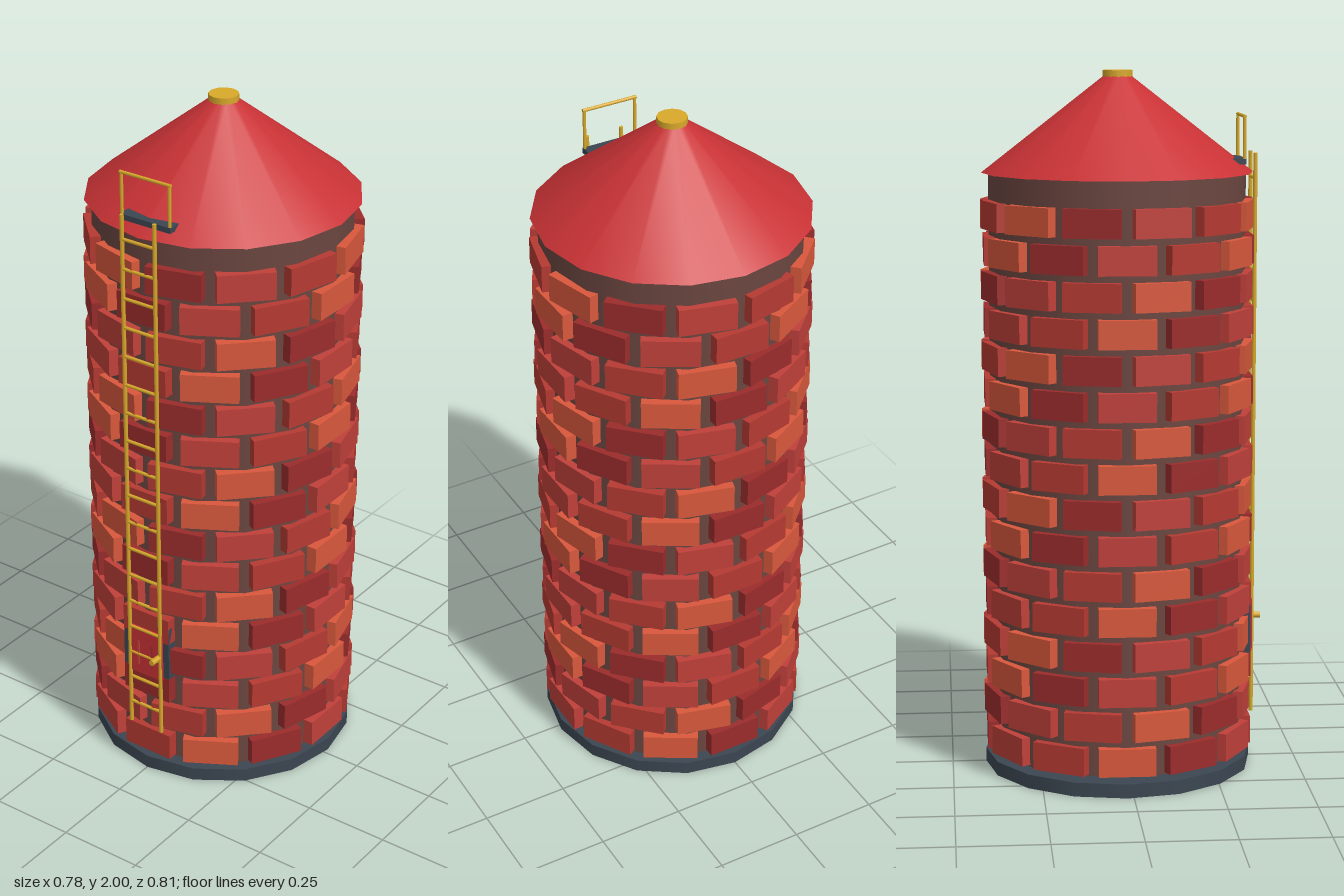
import * as THREE from 'three';

const CZ = -0.018; // axis of the tower

const paint = (color) => new THREE.MeshStandardMaterial({ color });
const slate = paint(0x3b4651);
const mortar = paint(0x6b4640);
const red = paint(0xc93235);
const gold = paint(0xd9a92b);
const brickColors = [0x9b2c2c, 0xc0403a, 0xb53a32, 0xd9583c].map(paint);

export function createModel() {
  const model = new THREE.Group();

  const add = (name, geometry, material, x, y, z, parent = model) => {
    const mesh = new THREE.Mesh(geometry, material);
    mesh.name = name;
    mesh.position.set(x, y, z);
    parent.add(mesh);
    return mesh;
  };
  const group = (name) => {
    const g = new THREE.Group();
    g.name = name;
    model.add(g);
    return g;
  };
  const box = (w, h, d) => new THREE.BoxGeometry(w, h, d);
  const rod = (r, length) => new THREE.CylinderGeometry(r, r, length, 8);

  // Tower body
  add('base', new THREE.CylinderGeometry(0.385, 0.385, 0.04, 16), slate, 0, 0.02, CZ);
  add('core', new THREE.CylinderGeometry(0.365, 0.365, 1.66, 16), mortar, 0, 0.885, CZ);
  add('roof', new THREE.CylinderGeometry(0.038, 0.385, 0.27, 16), red, 0, 1.85, CZ);
  add('roofCap', new THREE.CylinderGeometry(0.042, 0.042, 0.02, 12), gold, 0, 1.99, CZ);

  // Staggered courses of bricks
  const bricks = group('bricks');
  const brickShape = box(0.16, 0.08, 0.04);
  for (let row = 0; row < 16; row++) {
    for (let i = 0; i < 12; i++) {
      const angle = ((i + (row % 2) / 2) * Math.PI) / 6;
      const shade = (i + (row % 4 < 2 ? 2 : 0)) % 4;
      const brick = add('brick', brickShape, brickColors[shade],
        0.36 * Math.sin(angle), 0.1 + row * 0.1, CZ + 0.36 * Math.cos(angle), bricks);
      brick.rotation.y = angle;
    }
  }

  // Hatch with frame and handle
  add('hatchFrame', box(0.16, 0.18, 0.04), slate, 0, 0.42, 0.341);
  add('hatchDoor', box(0.12, 0.155, 0.03), red, 0, 0.408, 0.353);
  add('hatchHandle', rod(0.009, 0.04), gold, 0.051, 0.41, 0.385).rotation.x = Math.PI / 2;

  // Ladder
  const ladder = group('ladder');
  for (const side of [-1, 1]) {
    add('ladderRail', rod(0.006, 1.62), gold, side * 0.054, 0.96, 0.367, ladder);
  }
  for (let i = 0; i < 18; i++) {
    add('ladderRung', rod(0.005, 0.108), gold, 0, 0.22 + i * 0.087, 0.367, ladder).rotation.z = Math.PI / 2;
  }

  // Landing with hand rail at the top of the ladder
  add('landing', box(0.168, 0.016, 0.1), slate, 0, 1.747, 0.288);
  const handRail = group('handRail');
  for (const side of [-1, 1]) {
    add('railPost', rod(0.005, 0.125), gold, side * 0.079, 1.812, 0.333, handRail);
  }
  add('railBar', rod(0.005, 0.168), gold, 0, 1.873, 0.333, handRail).rotation.z = Math.PI / 2;

  return model;
}
